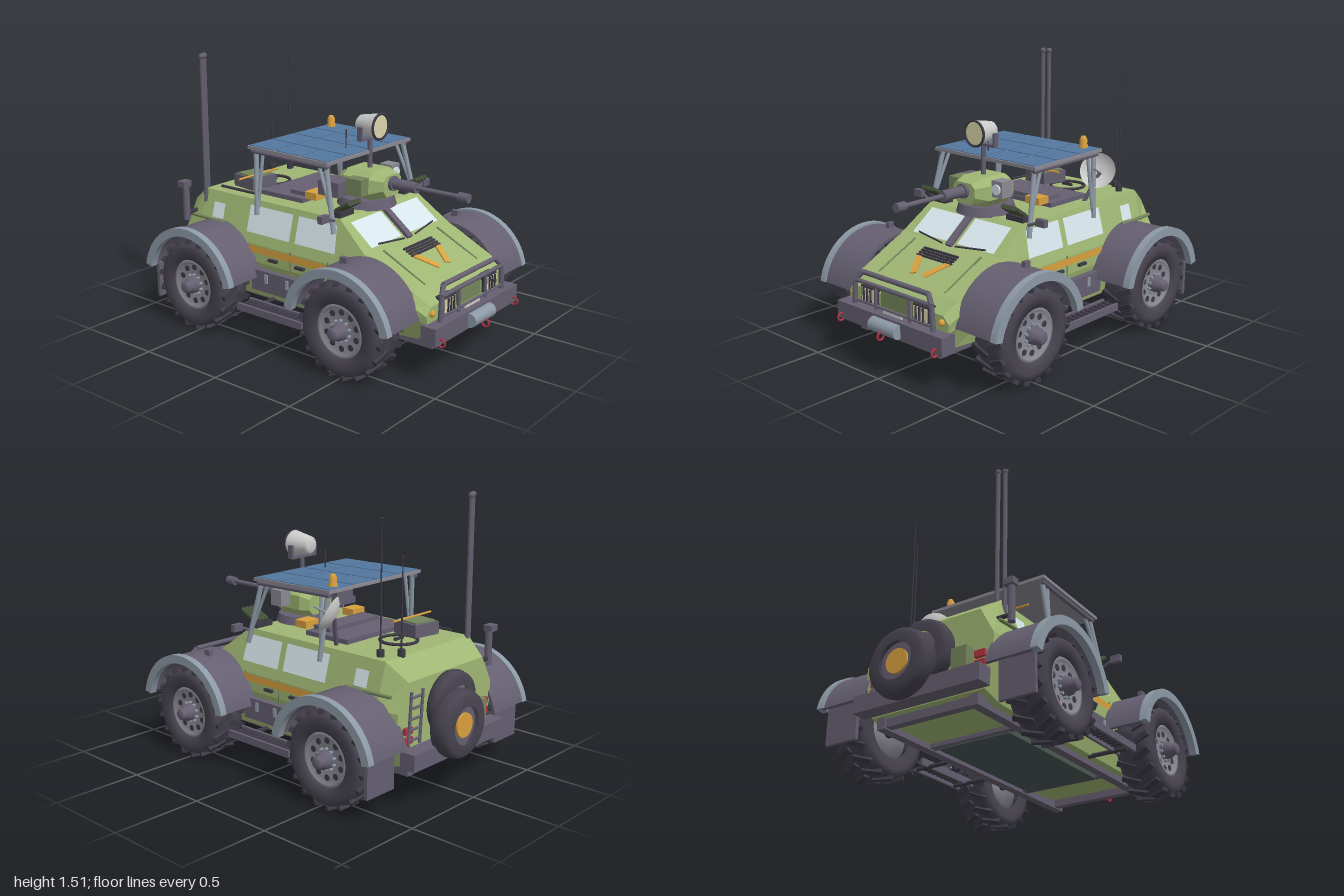
import * as THREE from 'three';

const C = {
  green: 0x9fb673, olive: 0x75855c, purple: 0x655f70, dark: 0x3d3a45, tyre: 0x47434f, steel: 0x8d99a6, grey: 0x8b8993,
  glass: 0xd6e5ea, orange: 0xd8a03e, blue: 0x54779f, cream: 0xdcd6ac, white: 0xdcdcdc, red: 0xb03444, moss: 0x46503a, floor: 0x4a5654,
};
const mats = {};
const mat = (name, flat = false) => (mats[name + flat] ??=
  new THREE.MeshStandardMaterial({ color: C[name], flatShading: flat, side: THREE.DoubleSide }));
const V = (p) => new THREE.Vector3(...p);
const UP = new THREE.Vector3(0, 1, 0);

export function createModel() {
  const model = new THREE.Group();
  model.name = 'armouredScoutCar';

  const add = (name, geo, color, pos = [0, 0, 0], rot = [0, 0, 0], parent = model, flat = false) => {
    const m = new THREE.Mesh(geo, mat(color, flat));
    m.name = name;
    m.position.set(...pos);
    m.rotation.set(...rot);
    parent.add(m);
    return m;
  };
  const box = (name, color, size, pos, rot, parent) => add(name, new THREE.BoxGeometry(...size), color, pos, rot, parent);
  // Round bar between two points
  const rod = (name, color, a, b, r, parent = model, r2 = r, seg = 10) => {
    const d = V(b).sub(V(a));
    const m = add(name, new THREE.CylinderGeometry(r2, r, d.length(), seg), color, [0, 0, 0], [0, 0, 0], parent);
    m.position.copy(V(a)).addScaledVector(d, 0.5);
    m.quaternion.setFromUnitVectors(UP, d.normalize());
    return m;
  };
  // Thin four-cornered plate
  const panel = (name, color, pts) => {
    const g = new THREE.BufferGeometry();
    g.setAttribute('position', new THREE.Float32BufferAttribute(pts.flat(), 3));
    g.setIndex([0, 1, 2, 0, 2, 3]);
    g.computeVertexNormals();
    return add(name, g, color);
  };
  // Mirrored cross-sections joined front to back: [z, ...[x, y] from bottom to top]
  const loft = (name, color, sections) => {
    const rings = sections.map(([z, ...p]) => [...p.map(([x, y]) => [x, y, z]), ...[...p].reverse().map(([x, y]) => [-x, y, z])]);
    const n = rings[0].length, pos = [];
    const tri = (...p) => p.forEach((q) => pos.push(...q));
    for (let i = 0; i < rings.length - 1; i++) for (let j = 0; j < n; j++) {
      const k = (j + 1) % n, a = rings[i], b = rings[i + 1];
      tri(a[j], b[j], b[k]);
      tri(a[j], b[k], a[k]);
    }
    const last = rings[rings.length - 1];
    for (let j = 1; j < n - 1; j++) {
      tri(rings[0][0], rings[0][j], rings[0][j + 1]);
      tri(last[0], last[j + 1], last[j]);
    }
    const g = new THREE.BufferGeometry();
    g.setAttribute('position', new THREE.Float32BufferAttribute(pos, 3));
    g.computeVertexNormals();
    return add(name, g, color, [0, 0, 0], [0, 0, 0], model, true);
  };
  const lathe = (pts, seg = 32) => new THREE.LatheGeometry(pts.map((p) => new THREE.Vector2(...p)), seg);

  // Hull
  loft('hull', 'green', [
    [0.86, [0.32, 0.22], [0.37, 0.30], [0.38, 0.35], [0.34, 0.39]],
    [0.78, [0.34, 0.20], [0.40, 0.34], [0.405, 0.40], [0.37, 0.45]],
    [0.47, [0.35, 0.18], [0.41, 0.40], [0.41, 0.50], [0.38, 0.595]],
    [0.29, [0.35, 0.18], [0.41, 0.40], [0.41, 0.50], [0.345, 0.735]],
    [-0.69, [0.35, 0.18], [0.41, 0.40], [0.41, 0.50], [0.345, 0.735]],
    [-0.81, [0.34, 0.22], [0.39, 0.40], [0.39, 0.50], [0.31, 0.645]],
  ]);
  const sideX = (y) => 0.416 - 0.065 * Math.max(0, (y - 0.5) / 0.235);
  const shield = (x, y) => [x, y, 0.478 - 0.18 * (y - 0.595) / 0.14];
  const hoodY = (z) => 0.6 - 0.15 * (z - 0.47) / 0.31;

  for (const s of [-1, 1]) {
    // Glazing, stripe and doors
    const sidePanel = (name, color, z1, z2, y1, y2, slant = 0) => panel(name, color, [
      [s * sideX(y1), y1, z1], [s * sideX(y1), y1, z2], [s * sideX(y2), y2, z2], [s * sideX(y2), y2, z1 - slant]]);
    panel('windscreen', 'glass', [shield(s * 0.04, 0.605), shield(s * 0.305, 0.605), shield(s * 0.30, 0.715), shield(s * 0.04, 0.715)]);
    rod('wiper', 'dark', [s * 0.05, 0.598, 0.49], [s * 0.25, 0.615, 0.468], 0.005);
    sidePanel('frontWindow', 'glass', 0.295, 0.02, 0.56, 0.705, 0.015);
    sidePanel('middleWindow', 'glass', -0.02, -0.33, 0.56, 0.705);
    sidePanel('rearWindow', 'glass', -0.52, -0.605, 0.59, 0.675);
    sidePanel('stripe', 'orange', 0.36, -0.30, 0.455, 0.495);
    for (const z of [0.26, 0, -0.34]) box('doorSeam', 'olive', [0.006, 0.14, 0.006], [s * 0.411, 0.44, z]);
    for (const z of [-0.12, 0.07]) box('doorHandle', 'dark', [0.02, 0.015, 0.06], [s * 0.418, 0.435, z]);
    rod('sideRail', 'olive', [s * 0.41, 0.58, -0.49], [s * 0.395, 0.58, -0.77], 0.01);
    box('sillBox', 'purple', [0.06, 0.12, 0.5], [s * 0.41, 0.31, -0.01]);
    for (const z of [-0.15, 0, 0.14]) box('sillLatch', 'steel', [0.01, 0.05, 0.02], [s * 0.443, 0.33, z]);
    // Slatted step
    for (const x of [0.48, 0.575]) box('stepRail', 'purple', [0.015, 0.04, 0.46], [s * x, 0.195, -0.01]);
    for (let i = 0; i < 12; i++) box('stepSlat', 'dark', [0.1, 0.012, 0.022], [s * 0.527, 0.2, -0.22 + i * 0.038]);
    for (const z of [-0.18, 0.16]) rod('stepBracket', 'dark', [s * 0.33, 0.18, z], [s * 0.56, 0.18, z], 0.012);
    // Mirrors, headlamps, indicators
    rod('mirrorArm', 'purple', [s * 0.37, 0.73, 0.27], [s * 0.44, 0.76, 0.27], 0.008);
    box('mirror', 'purple', [0.06, 0.04, 0.03], [s * 0.46, 0.76, 0.27]);
    box('headlampHousing', 'dark', [0.12, 0.09, 0.05], [s * 0.2, 0.37, 0.855]);
    box('headlamp', 'cream', [0.10, 0.07, 0.02], [s * 0.2, 0.37, 0.875]);
    for (let i = -1; i <= 1; i++) box('headlampBar', 'dark', [0.007, 0.08, 0.01], [s * 0.2 + i * 0.027, 0.37, 0.889]);
    add('indicator', new THREE.SphereGeometry(0.018, 12, 8), 'orange', [s * 0.335, 0.355, 0.865]);
    box('hoodMarking', 'orange', [0.035, 0.008, 0.15], [s * 0.075, hoodY(0.65) + 0.002, 0.65], [0.45, s * -0.5, 0]);
    rod('hoodEdge', 'olive', [s * 0.25, hoodY(0.5), 0.5], [s * 0.25, hoodY(0.76), 0.76], 0.005);
    box('markerLamp', 'purple', [0.025, 0.035, 0.04], [s * 0.515, 0.595, 0.45]);
    // Brush guard uprights
    rod('guardUpright', 'purple', [s * 0.30, 0.30, 0.89], [s * 0.29, 0.44, 0.89], 0.014);
    rod('guardCorner', 'purple', [s * 0.29, 0.44, 0.89], [s * 0.25, 0.485, 0.87], 0.014);
    rod('guardPost', 'purple', [s * 0.13, 0.30, 0.89], [s * 0.13, 0.44, 0.89], 0.009);
    // Smoke dischargers
    for (let i = 0; i < 4; i++) {
      const x = s * (0.25 + i * 0.026);
      rod('smokeDischarger', 'moss', [x, 0.77, 0.25], [x + s * 0.015, 0.83, 0.35], 0.014);
    }
    box('dischargerBase', 'dark', [0.12, 0.03, 0.06], [s * 0.29, 0.755, 0.26]);
    // Rack legs
    for (const [zt, zb] of [[0.19, 0.27], [-0.3, -0.27]]) {
      rod('rackLeg', 'steel', [s * 0.34, 1.02, zt], [s * 0.375, 0.66, zb], 0.014);
      rod('rackBrace', 'steel', [s * 0.34, 1.01, zt + (zt > 0 ? -0.05 : 0.05)], [s * 0.365, 0.70, zb], 0.01);
    }
    rod('rackSideRail', 'purple', [s * 0.35, 1.0, 0.21], [s * 0.35, 1.01, -0.32], 0.012);
    // Chassis rail, mud flap and tail lamps
    box('chassisRail', 'purple', [0.05, 0.06, 1.66], [s * 0.28, 0.18, 0.02]);
    box('mudFlap', 'purple', [0.2, 0.2, 0.02], [s * 0.53, 0.23, -0.815]);
    for (const y of [0.35, 0.4]) box('tailLamp', 'red', [0.06, 0.035, 0.025], [s * 0.32, y, -0.815]);

    // Fenders and wheels
    for (const zc of [0.505, -0.54]) {
      const arch = (r1, r2, depth) => {
        const sh = new THREE.Shape(), a = 0.2;
        sh.absarc(0, 0, r2, a, Math.PI - a, false);
        sh.absarc(0, 0, r1, Math.PI - a, a, true);
        return new THREE.ExtrudeGeometry(sh, { depth, bevelEnabled: false, curveSegments: 28 }).translate(0, 0, -depth / 2);
      };
      add('fender', arch(0.308, 0.325, 0.27), 'purple', [s * 0.51, 0.26, zc], [0, Math.PI / 2, 0]);
      add('fenderRim', arch(0.288, 0.335, 0.04), 'steel', [s * 0.65, 0.26, zc], [0, Math.PI / 2, 0]);
      const w = new THREE.Group();
      w.name = 'wheel';
      w.position.set(s * 0.535, 0.26, zc);
      w.rotation.z = -s * Math.PI / 2;
      model.add(w);
      add('tyre', lathe([[0.14, -0.09], [0.2, -0.105], [0.235, -0.095], [0.246, -0.06], [0.246, 0.06], [0.235, 0.095], [0.2, 0.105], [0.145, 0.095], [0.14, 0.05]], 40), 'tyre', [0, 0, 0], [0, 0, 0], w);
      for (let i = 0; i < 36; i++) {
        const a = i * Math.PI / 18, side = i % 2 ? 1 : -1, t = new THREE.Group();
        t.rotation.y = a;
        w.add(t);
        box('treadBlock', 'dark', [0.022, 0.105, 0.03], [0.247, side * 0.05, 0], [side * 0.45, 0, 0], t);
      }
      add('rim', lathe([[0, -0.06], [0.145, -0.06], [0.145, 0.085], [0.125, 0.09], [0.115, 0.07], [0, 0.07]]), 'grey', [0, 0, 0], [0, 0, 0], w);
      for (let i = 0; i < 10; i++) {
        const a = i * Math.PI / 5;
        rod('rimHole', 'dark', [0.098 * Math.cos(a), 0.06, 0.098 * Math.sin(a)], [0.098 * Math.cos(a), 0.073, 0.098 * Math.sin(a)], 0.017, w);
        rod('wheelNut', 'steel', [0.055 * Math.cos(a), 0.07, 0.055 * Math.sin(a)], [0.055 * Math.cos(a), 0.088, 0.055 * Math.sin(a)], 0.008, w, 0.008, 6);
      }
      add('hub', lathe([[0.05, 0.07], [0.045, 0.11], [0.035, 0.12], [0.033, 0.145], [0.022, 0.155], [0, 0.155]], 20), 'purple', [0, 0, 0], [0, 0, 0], w);
    }
  }
  box('windscreenPost', 'purple', [0.04, 0.22, 0.02], [0, 0.66, 0.405], [-0.91, 0, 0]);
  for (let i = 0; i < 4; i++) box('hoodVent', 'dark', [0.26, 0.01, 0.012], [0, hoodY(0.545 + i * 0.017) + 0.004, 0.545 + i * 0.017]);

  // Front bumper, guard, winch and tow rings
  box('frontBumper', 'purple', [0.8, 0.095, 0.09], [0, 0.26, 0.885]);
  for (const [y, x, z, r] of [[0.485, 0.25, 0.87, 0.014], [0.44, 0.29, 0.89, 0.012], [0.33, 0.29, 0.89, 0.008]]) rod('guardBar', 'purple', [-x, y, z], [x, y, z], r);
  box('grille', 'olive', [0.22, 0.1, 0.02], [0, 0.38, 0.862]);
  box('blankPlate', 'white', [0.14, 0.03, 0.01], [0, 0.317, 0.89]);
  rod('winch', 'steel', [-0.1, 0.26, 0.94], [0.1, 0.26, 0.94], 0.038, model, 0.038, 20);
  for (const x of [-0.36, 0, 0.36]) add('towRing', new THREE.TorusGeometry(0.02, 0.006, 8, 16), 'red', [x, 0.225, x ? 0.94 : 0.975], [0, Math.PI / 2, 0]);

  // Underside
  box('bellyPlate', 'floor', [0.44, 0.02, 0.85], [0, 0.16, 0]);
  for (const z of [-0.78, -0.43, 0.43, 0.78]) box('crossMember', 'purple', [0.6, 0.045, 0.045], [0, 0.18, z]);
  for (const z of [0.505, -0.54]) rod('axle', 'dark', [-0.47, 0.26, z], [0.47, 0.26, z], 0.03);

  // Rear bumper, spare wheels, ladder and can
  box('rearBumper', 'purple', [0.76, 0.09, 0.09], [0, 0.265, -0.865]);
  for (const [x, y, z, r, h] of [[0, 0.475, -0.845, 0.175, 0.045], [0.06, 0.4, -0.93, 0.182, 0.058]]) {
    add('spareTyre', lathe([[0.1, -h], [r - 0.03, -h], [r - 0.008, -h * 0.7], [r, 0], [r - 0.008, h * 0.7], [r - 0.03, h], [0.1, h], [0.09, 0]]), 'tyre', [x, y, z], [Math.PI / 2, 0, 0]);
    rod('spareHub', 'purple', [x, y, z + 0.05], [x, y, z - h * 0.6], 0.1, model, 0.1, 28);
    rod('spareCap', 'orange', [x, y, z], [x, y, z - h * 0.8], 0.065, model, 0.065, 24);
  }
  for (const x of [0.24, 0.33]) rod('ladderRail', 'purple', [x, 0.32, -0.83], [x - 0.02, 0.6, -0.83], 0.008);
  for (let i = 0; i < 5; i++) rod('ladderRung', 'purple', [0.24, 0.35 + i * 0.055, -0.83], [0.32, 0.35 + i * 0.055, -0.83], 0.007);
  box('fuelCan', 'olive', [0.09, 0.12, 0.06], [-0.23, 0.38, -0.84]);
  rod('exhaustStack', 'purple', [-0.45, 0.56, -0.75], [-0.45, 0.76, -0.75], 0.02);
  box('exhaustCap', 'purple', [0.06, 0.035, 0.05], [-0.45, 0.77, -0.76]);
  rod('exhaustBracket', 'dark', [-0.36, 0.6, -0.75], [-0.45, 0.6, -0.75], 0.012);

  // Turret and gun
  rod('turretRing', 'purple', [0, 0.73, 0.2], [0, 0.78, 0.2], 0.165, model, 0.15, 32);
  loft('turret', 'green', [
    [0.37, [0.05, 0.80], [0.08, 0.84], [0.08, 0.89], [0.05, 0.915]],
    [0.30, [0.08, 0.78], [0.12, 0.82], [0.12, 0.90], [0.07, 0.935]],
    [0.13, [0.08, 0.78], [0.12, 0.82], [0.12, 0.90], [0.07, 0.935]],
    [0.08, [0.06, 0.79], [0.09, 0.82], [0.09, 0.88], [0.05, 0.91]],
  ]);
  for (const [z1, z2, r] of [[0.35, 0.39, 0.04], [0.37, 0.53, 0.03], [0.53, 0.8, 0.013], [0.79, 0.85, 0.025]]) rod('gunBarrel', 'purple', [0, 0.87, z1], [0, 0.87, z2], r, model, r, 16);
  box('ammoBox', 'purple', [0.13, 0.08, 0.14], [-0.185, 0.85, 0.13]);
  box('turretCase', 'olive', [0.07, 0.09, 0.1], [-0.15, 0.865, 0.25]);
  box('sightBox', 'grey', [0.075, 0.09, 0.08], [0.155, 0.885, 0.24]);
  rod('sightLens', 'glass', [0.155, 0.885, 0.27], [0.155, 0.885, 0.29], 0.028, model, 0.028, 20);
  rod('turretAerial', 'dark', [-0.07, 0.9, 0.11], [-0.07, 1.14, 0.11], 0.004);

  // Searchlight
  rod('lightPole', 'purple', [0, 0.92, 0.22], [0, 1.1, 0.22], 0.013);
  box('lightYoke', 'purple', [0.19, 0.015, 0.03], [0, 1.1, 0.22]);
  for (const s of [-1, 1]) box('yokeArm', 'purple', [0.015, 0.07, 0.03], [s * 0.09, 1.135, 0.22]);
  add('searchlight', lathe([[0, -0.07], [0.035, -0.07], [0.05, -0.055], [0.07, 0.06], [0.073, 0.075], [0.065, 0.075]]), 'white', [0, 1.167, 0.215], [Math.PI / 2, 0, 0]);
  add('searchlightLens', new THREE.CircleGeometry(0.066, 32), 'cream', [0, 1.167, 0.287]);
  add('searchlightRing', new THREE.TorusGeometry(0.069, 0.007, 8, 32), 'dark', [0, 1.167, 0.288]);

  // Solar roof
  const solar = new THREE.Group();
  solar.name = 'solarRoof';
  solar.position.set(0, 1.027, -0.055);
  solar.rotation.x = 0.02;
  model.add(solar);
  box('solarFrame', 'grey', [0.745, 0.018, 0.56], [0, 0, 0], [0, 0, 0], solar);
  for (let i = 0; i < 4; i++) for (let j = 0; j < 3; j++) box('solarCell', 'blue', [0.173, 0.01, 0.173], [(i - 1.5) * 0.184, 0.008, (j - 1) * 0.184], [0, 0, 0], solar);
  add('beacon', lathe([[0.026, 0], [0.026, 0.02], [0.021, 0.025], [0.021, 0.055], [0.012, 0.072], [0, 0.075]], 20), 'orange', [0.285, 1.037, -0.28]);

  // Dish on its arm
  const dish = add('dish', lathe([[0, -0.035], [0.04, -0.029], [0.075, -0.014], [0.1, 0.008]]), 'white', [0.355, 0.915, -0.325]);
  dish.quaternion.setFromUnitVectors(UP, V([0.4, 0.45, 0.85]).normalize());
  rod('dishMast', 'purple', [0.28, 0.73, -0.3], [0.35, 0.9, -0.35], 0.012);
  rod('dishFeed', 'steel', [0.35, 0.91, -0.33], [0.385, 0.95, -0.24], 0.006);

  // Roof stowage and hatch
  for (const x of [-0.19, 0.19]) box('roofCrate', 'orange', [0.1, 0.04, 0.08], [x, 0.785, 0]);
  box('roofBag', 'purple', [0.4, 0.05, 0.12], [0, 0.76, -0.12]);
  box('roofRack', 'purple', [0.5, 0.025, 0.3], [0, 0.75, -0.2]);
  add('hatchRing', new THREE.TorusGeometry(0.1, 0.009, 8, 32), 'dark', [0, 0.742, -0.49], [Math.PI / 2, 0, 0]);
  box('hatchHandle', 'dark', [0.07, 0.015, 0.012], [0, 0.75, -0.49]);
  box('stowageBox', 'purple', [0.17, 0.07, 0.17], [-0.16, 0.78, -0.48], [0, -0.15, 0]);
  box('stowageLid', 'olive', [0.14, 0.01, 0.14], [-0.16, 0.818, -0.48], [0, -0.15, 0]);
  rod('toolHandle', 'orange', [-0.34, 0.825, -0.435], [-0.02, 0.825, -0.435], 0.006);
  rod('roofRail', 'dark', [-0.31, 0.755, -0.34], [-0.31, 0.755, -0.6], 0.008);

  // Masts and whip aerials
  for (const [x, z] of [[-0.36, -0.68], [-0.325, -0.695]]) {
    rod('mast', 'purple', [x, 0.66, z], [x, 1.49, z], 0.012);
    add('mastTip', new THREE.SphereGeometry(0.017, 12, 8), 'purple', [x, 1.493, z]);
  }
  for (const [x, z, top] of [[0.29, -0.61, 1.43], [0.21, -0.68, 1.24]]) {
    rod('aerialBase', 'dark', [x, 0.73, z], [x, 0.77, z], 0.02);
    rod('aerial', 'dark', [x, 0.76, z], [x, top, z], 0.005, model, 0.003);
    add('aerialTip', new THREE.SphereGeometry(0.007, 8, 6), 'dark', [x, top, z]);
  }
  return model;
}
